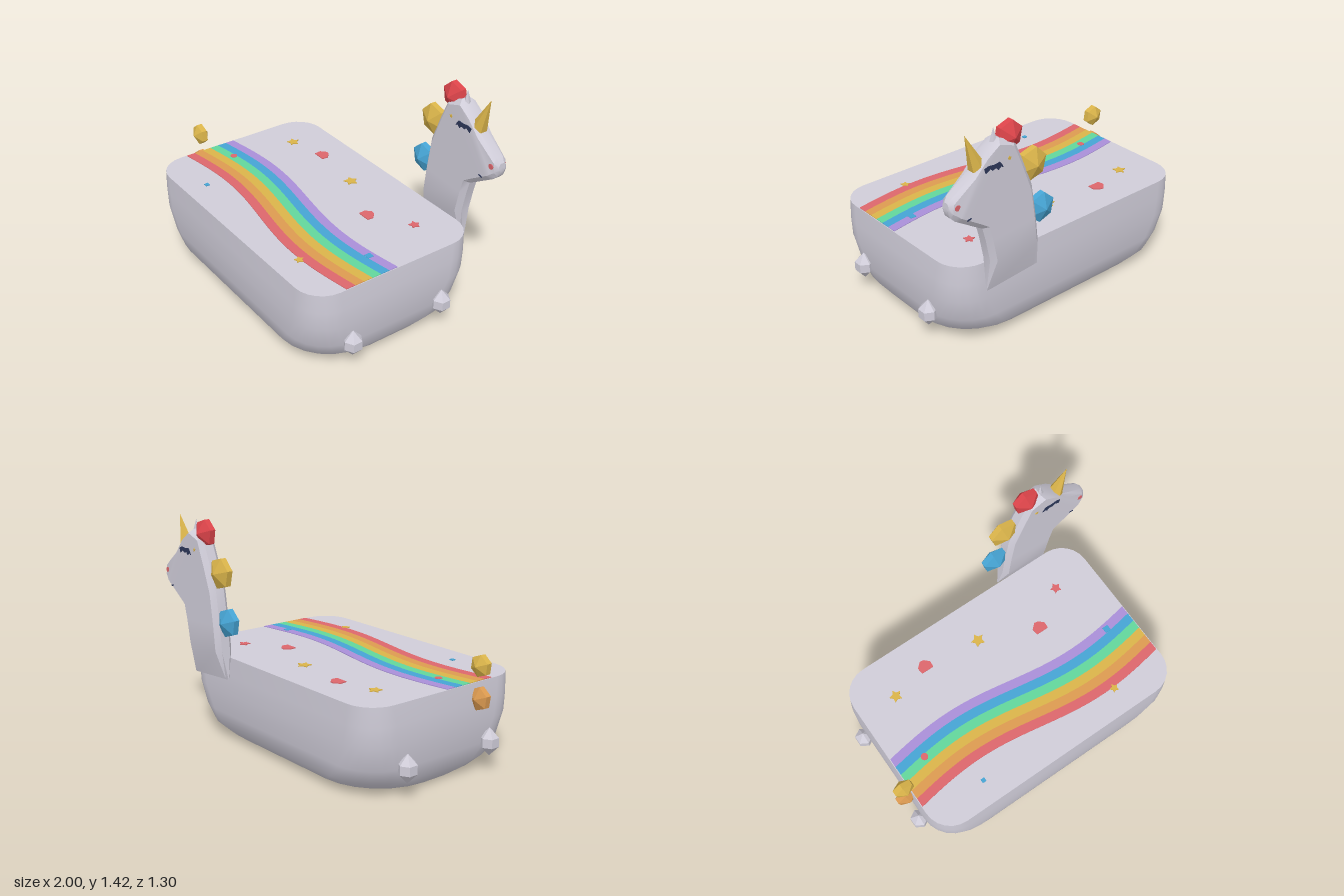
import * as THREE from 'three';
import { toCreasedNormals } from 'three/addons/utils/BufferGeometryUtils.js';

const paint = (name, color) => {
  const m = new THREE.MeshStandardMaterial({ color });
  m.name = name;
  return m;
};

// Skin a list of equal-length rings (counterclockwise seen from above, bottom to top), closed at both ends
function loft(rings, crease) {
  const n = rings[0].length, pos = [], idx = [];
  rings.forEach(r => r.forEach(p => pos.push(...p)));
  for (let j = 0; j < rings.length - 1; j++) {
    for (let i = 0; i < n; i++) {
      const a = j * n + i, b = j * n + (i + 1) % n;
      idx.push(a, b, b + n, a, b + n, a + n);
    }
  }
  [0, rings.length - 1].forEach((j, top) => {
    const c = pos.length / 3;
    for (let k = 0; k < 3; k++) pos.push(rings[j].reduce((s, p) => s + p[k], 0) / n);
    for (let i = 0; i < n; i++) {
      const a = j * n + i, b = j * n + (i + 1) % n;
      if (top) idx.push(c, a, b); else idx.push(c, b, a);
    }
  });
  const g = new THREE.BufferGeometry();
  g.setAttribute('position', new THREE.Float32BufferAttribute(pos, 3));
  g.setIndex(idx);
  return toCreasedNormals(g, crease);
}

// Horizontal rounded rectangle
function roundedRing(y, hx, hz, r, cz) {
  const ring = [], seg = 6;
  for (let q = 0; q < 4; q++) {
    const sx = q === 0 || q === 3 ? 1 : -1, sz = q < 2 ? -1 : 1;
    for (let i = 0; i <= seg; i++) {
      const t = (q + i / seg) * Math.PI / 2;
      ring.push([sx * (hx - r) + r * Math.cos(t), y, cz + sz * (hz - r) - r * Math.sin(t)]);
    }
  }
  return ring;
}

// Six-sided crystal: a short band with a point at each end
function gemGeometry(r, half, band) {
  const pts = [[0, -half], [r, -band], [r, band], [0, half]].map(p => new THREE.Vector2(...p));
  return toCreasedNormals(new THREE.LatheGeometry(pts, 6), 0.1);
}

function polygon(points) {
  return new THREE.Shape(points.map(p => new THREE.Vector2(...p)));
}

function starShape(r, spikes = 5, inner = 0.55) {
  const pts = [];
  for (let i = 0; i < spikes * 2; i++) {
    const a = Math.PI / 2 + i * Math.PI / spikes, d = i % 2 ? r * inner : r;
    pts.push([d * Math.cos(a), d * Math.sin(a)]);
  }
  return polygon(pts);
}

function discShape(r) {
  const s = new THREE.Shape();
  s.absarc(0, 0, r, 0, Math.PI * 2);
  return s;
}

export function createModel() {
  const grey = paint('pale grey', 0xcfccd8);
  const red = paint('red', 0xdc444a);
  const coral = paint('coral', 0xdc666c);
  const gold = paint('gold', 0xdab44a);
  const blue = paint('blue', 0x46a4d4);
  const orange = paint('orange', 0xdc9a50);
  const purple = paint('purple', 0xa98fd8);
  const green = paint('green', 0x62d69c);
  const navy = paint('navy', 0x2c3658);

  const model = new THREE.Group();
  const add = (name, geo, mat, x = 0, y = 0, z = 0, parent = model) => {
    const m = new THREE.Mesh(geo, mat);
    m.name = name;
    m.position.set(x, y, z);
    parent.add(m);
    return m;
  };

  // Tub-shaped body with a flat top
  const levels = [
    [0, 0.8, 0.485, 0.4], [0.03, 0.835, 0.525, 0.38], [0.085, 0.875, 0.57, 0.33],
    [0.18, 0.895, 0.585, 0.27], [0.33, 0.91, 0.597, 0.22], [0.45, 0.908, 0.595, 0.2], [0.57, 0.897, 0.59, 0.18],
  ];
  add('body', loft(levels.map(l => roundedRing(...l, 0.055)), 1.0), grey);

  // Wavy rainbow across the top
  const wave = x => 0.06 + 0.05 * Math.sin(x * Math.PI / 0.9);
  const topPlate = (name, shape, mat, x, z, y = 0.568) => {
    const g = new THREE.ExtrudeGeometry(shape, { depth: 0.006, bevelEnabled: false });
    g.rotateX(-Math.PI / 2);
    add(name, g, mat, x, y, z);
  };
  [purple, blue, green, gold, orange, coral].forEach((mat, k) => {
    const near = [], far = [];
    for (let i = 0; i <= 32; i++) {
      const x = -0.892 + 1.784 * i / 32, z = wave(x) + k * 0.06;
      near.push([x, -z - 0.06]);
      far.unshift([x, -z]);
    }
    topPlate('rainbowBand', polygon([...near, ...far]), mat, 0, 0);
  });

  // Scattered stars, hearts and dots
  [[-0.64, -0.265, 0.042], [-0.005, -0.28, 0.046], [0.515, 0.478, 0.03]].forEach(([x, z, r]) =>
    topPlate('topStar', starShape(r), gold, x, z, 0.57));
  topPlate('topStar', starShape(0.037), coral, 0.617, -0.29, 0.57);
  const heart = polygon([[-0.042, -0.035], [0.042, -0.035], [0.045, 0.005], [0.015, 0.035], [-0.012, 0.04], [-0.046, 0.008]]);
  [[-0.38, -0.33], [0.37, -0.13]].forEach(([x, z]) => topPlate('topHeart', heart, coral, x, z, 0.57));
  topPlate('topDot', discShape(0.023), coral, -0.71, 0.165, 0.57);
  const square = s => polygon([[-s, -s], [s, -s], [s, s], [-s, s]]);
  topPlate('topSquare', square(0.013), blue, -0.497, 0.495, 0.57);
  topPlate('topSquare', square(0.02), blue, 0.715, 0.13, 0.57);

  // Crystal feet at the two ends
  for (const x of [-0.925, 0.913]) {
    for (const z of [0.385, -0.272]) add('foot', gemGeometry(0.058, 0.088, 0.028), grey, x, 0.19, z);
  }

  // Tail crystals
  const flatGem = (name, mat, x, y, z, r, half, turn, parent) => {
    const g = gemGeometry(r, half, 0.018);
    g.rotateX(Math.PI / 2);
    add(name, g, mat, x, y, z, parent).rotation.z = turn;
  };
  flatGem('tailGem', gold, -0.932, 0.678, 0.285, 0.068, 0.052, 0.15, model);
  flatGem('tailGem', orange, -0.93, 0.48, 0.285, 0.073, 0.05, 0.15, model);

  // Flat neck and head, lofted from rungs: back x, y, front x, y, half thickness
  const head = new THREE.Group();
  head.name = 'head';
  head.position.z = -0.588;
  model.add(head);
  const rungs = [
    [0.36, 0.45, 0.735, 0.42, 0.003], [0.382, 0.63, 0.73, 0.63, 0.058], [0.4, 0.8, 0.758, 0.77, 0.058],
    [0.43, 1.0, 0.78, 0.855, 0.058], [0.5, 1.18, 0.83, 0.885, 0.058], [0.56, 1.32, 0.9, 0.93, 0.058],
    [0.66, 1.355, 0.94, 0.955, 0.058], [0.74, 1.3, 0.96, 0.968, 0.057], [0.82, 1.21, 0.972, 0.98, 0.053],
    [0.97, 1.11, 0.987, 0.995, 0.045], [0.995, 1.08, 1.0, 1.03, 0.025],
  ];
  const rings = rungs.map(([bx, by, fx, fy, t]) => {
    const d = Math.hypot(fx - bx, fy - by), k = Math.min(0.03 / d, 0.3), e = t * 0.5;
    const at = (s, z) => [bx + (fx - bx) * s, by + (fy - by) * s, z];
    return [at(0, e), at(k, t), at(1 - k, t), at(1, e), at(1, -e), at(1 - k, -t), at(k, -t), at(0, -e)];
  });
  add('neckAndHead', loft(rings, 0.5), grey, 0, 0, 0, head);

  // Horn and ear
  const cone = (r, h, sides) => toCreasedNormals(new THREE.ConeGeometry(r, h, sides), 0.1);
  add('horn', cone(0.053, 0.235, 6), gold, 0.823, 1.313, 0, head).rotation.z = -0.36;
  add('ear', cone(0.034, 0.12, 5), grey, 0.674, 1.352, 0, head);

  // Mane crystals
  flatGem('maneGem', red, 0.572, 1.338, 0, 0.088, 0.063, 0.2, head);
  flatGem('maneGem', gold, 0.41, 1.113, 0, 0.1, 0.06, 0.25, head);
  flatGem('maneGem', blue, 0.342, 0.817, 0, 0.092, 0.06, 0.2, head);

  // Face details on both sides
  const eye = polygon([
    [0.655, 1.195], [0.672, 1.205], [0.69, 1.19], [0.705, 1.207], [0.73, 1.2], [0.745, 1.213],
    [0.775, 1.195], [0.785, 1.225], [0.755, 1.235], [0.715, 1.23], [0.68, 1.235], [0.665, 1.217],
  ]);
  const mouth = polygon([[0.873, 0.965], [0.9, 0.958], [0.9, 0.968], [0.876, 0.972]]);
  const facePlate = (name, shape, mat, x, y, z) => {
    for (const s of [1, -1]) {
      const g = new THREE.ExtrudeGeometry(shape, { depth: 0.008, bevelEnabled: false });
      g.translate(0, 0, -0.004);
      add(name, g, mat, x, y, s * z, head);
    }
  };
  facePlate('closedEye', eye, navy, 0, 0, 0.057);
  facePlate('mouth', mouth, navy, 0, 0, 0.056);
  facePlate('nostril', discShape(0.017), coral, 0.955, 1.055, 0.047);
  facePlate('browDot', starShape(0.013), gold, 0.613, 1.235, 0.057);

  return model;
}
